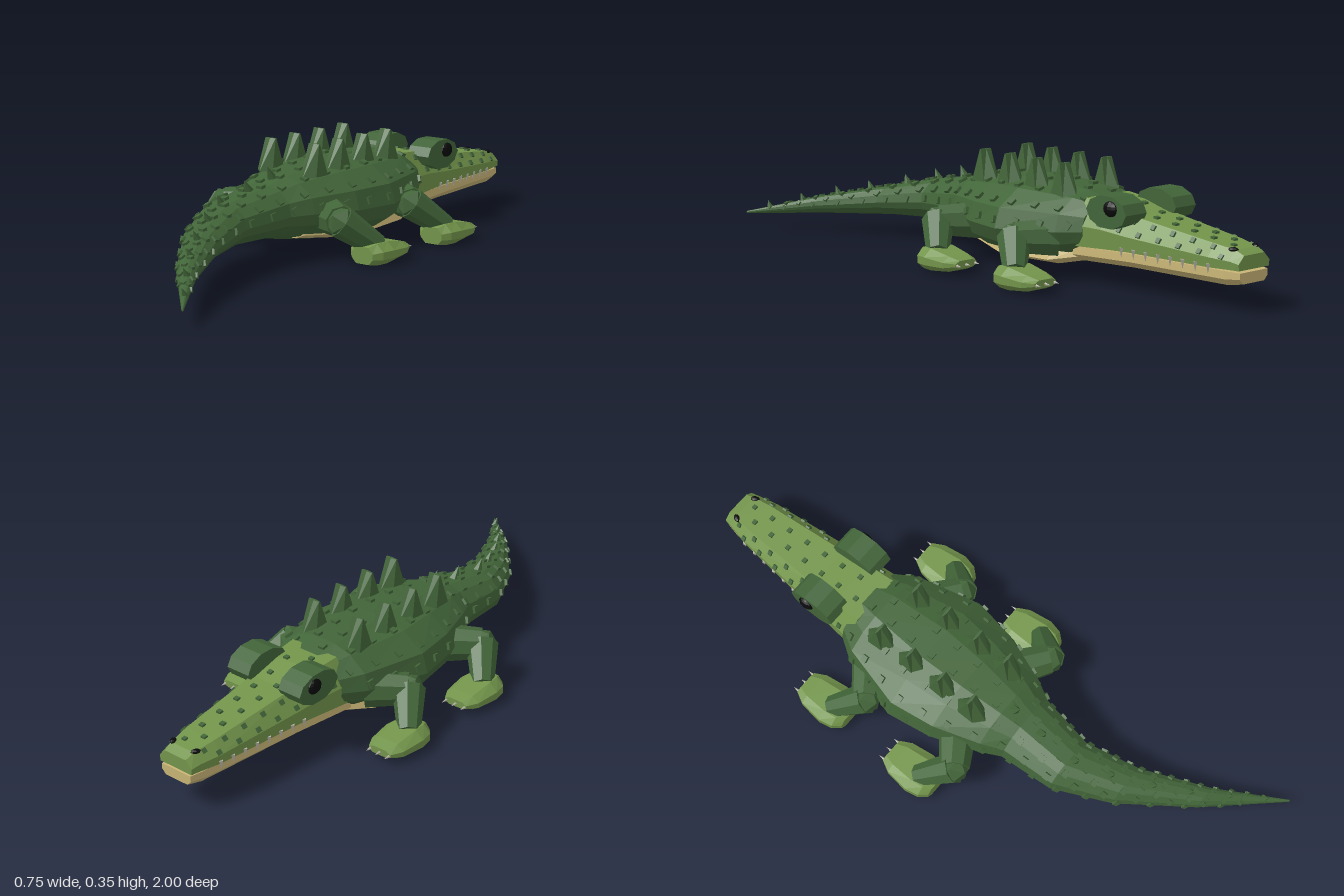
import * as THREE from 'three';
import { mergeGeometries } from 'three/addons/utils/BufferGeometryUtils.js';

const paint = (name, color) => Object.assign(new THREE.MeshStandardMaterial({ color }), { name });

// faceted normals
function facet(geo) {
  const g = geo.index ? geo.toNonIndexed() : geo;
  g.deleteAttribute('uv');
  g.computeVertexNormals();
  return g;
}

// section: [z, centre x, bottom y, top y, half width]; profile: [u -1..1, v 0..1], counter-clockwise
const place = (s, [u, v]) => new THREE.Vector3(s[1] + u * s[4], s[2] + v * (s[3] - s[2]), s[0]);

function loft(sections, profile) {
  const pos = [], n = profile.length;
  const tri = (...pts) => pts.forEach(p => pos.push(p.x, p.y, p.z));
  const rings = sections.map(s => profile.map(p => place(s, p)));
  for (let i = 0; i < rings.length - 1; i++) {
    for (let j = 0; j < n; j++) {
      const k = (j + 1) % n, A = rings[i], B = rings[i + 1];
      tri(A[j], A[k], B[j]);
      tri(A[k], B[k], B[j]);
    }
  }
  const first = rings[0], last = rings[rings.length - 1];
  for (let j = 1; j < n - 1; j++) {
    tri(first[0], first[j + 1], first[j]);
    tri(last[0], last[j], last[j + 1]);
  }
  const g = new THREE.BufferGeometry();
  g.setAttribute('position', new THREE.Float32BufferAttribute(pos, 3));
  return facet(g);
}

// interpolated section at z, and point on the skin at profile parameter t
function sectionAt(sections, z) {
  let i = 0;
  while (i < sections.length - 2 && sections[i + 1][0] < z) i++;
  const a = sections[i], b = sections[i + 1], f = (z - a[0]) / (b[0] - a[0]);
  return a.map((v, k) => v + (b[k] - v) * f);
}
function skin(sections, profile, z, t) {
  const j = Math.floor(t), f = t - j, a = profile[j], b = profile[j + 1];
  return place(sectionAt(sections, z), [a[0] + (b[0] - a[0]) * f, a[1] + (b[1] - a[1]) * f]);
}

// small raised scales in rows that follow the skin
function scales(sections, profile, rows, z0, z1, step, size) {
  const out = [];
  rows.forEach((t, r) => {
    for (let z = z0 + (r % 2) * step / 2; z < z1; z += step) {
      const p = skin(sections, profile, z, t), e = 0.01;
      const across = skin(sections, profile, z, t + e).sub(p);
      const along = skin(sections, profile, z + e, t).sub(p);
      const normal = across.cross(along).normalize();
      const q = new THREE.Quaternion().setFromUnitVectors(new THREE.Vector3(0, 1, 0), normal);
      const k = size * Math.min(1, 0.45 + sectionAt(sections, z)[4] * 6);
      const g = new THREE.BoxGeometry(k, k * 0.8, k * 0.9);
      out.push(facet(g.applyQuaternion(q).translate(p.x, p.y, p.z)));
    }
  });
  return mergeGeometries(out);
}

const BODY = [
  [-0.43, 0, 0.075, 0.255, 0.135], [-0.36, 0, 0.05, 0.272, 0.18], [-0.15, 0, 0.02, 0.282, 0.238],
  [0, 0, 0.025, 0.275, 0.212], [0.15, 0, 0.05, 0.255, 0.155], [0.22, 0, 0.065, 0.235, 0.118],
  [0.4, -0.005, 0.068, 0.205, 0.095], [0.58, 0.065, 0.066, 0.165, 0.072],
  [0.79, 0.2, 0.058, 0.118, 0.04], [1, 0.375, 0.048, 0.056, 0.004]];
const BODY_RING = [[1, 0.48], [0.92, 0.72], [0.6, 0.92], [0.25, 1], [-0.25, 1], [-0.6, 0.92], [-0.92, 0.72],
  [-1, 0.48], [-0.9, 0.3], [-0.55, 0.1], [0, 0], [0.55, 0.1], [0.9, 0.3]];
const HEAD = [
  [-1, 0, 0.125, 0.167, 0.064], [-0.97, 0, 0.125, 0.18, 0.07], [-0.9, 0, 0.124, 0.19, 0.085],
  [-0.6, 0, 0.124, 0.225, 0.114], [-0.5, 0, 0.12, 0.25, 0.125], [-0.4, 0, 0.115, 0.258, 0.135]];
const HEAD_RING = [[0.97, 0], [1, 0.45], [0.65, 1], [-0.65, 1], [-1, 0.45], [-0.97, 0]];
const JAW = [
  [-1, 0, 0.085, 0.118, 0.058], [-0.95, 0, 0.076, 0.119, 0.068], [-0.6, 0, 0.074, 0.119, 0.105],
  [-0.38, 0, 0.065, 0.113, 0.125]];
const JAW_RING = [[0.75, 0], [1, 0.45], [0.98, 1], [-0.98, 1], [-1, 0.45], [-0.75, 0]];
const BELLY = [
  [-0.42, 0, 0.07, 0.12, 0.1], [-0.3, 0, 0.043, 0.1, 0.155], [-0.08, 0, 0.034, 0.1, 0.165],
  [0.14, 0, 0.06, 0.1, 0.1]];
const BELLY_RING = [[1, 0.3], [0.9, 0.9], [-0.9, 0.9], [-1, 0.3], [-0.7, 0], [0.7, 0]];
const FOOT = [
  [-0.088, 0, 0.022, 0.046, 0.042], [-0.05, 0, 0.008, 0.056, 0.062], [0.03, 0, 0, 0.07, 0.072],
  [0.075, 0, 0, 0.068, 0.062], [0.1, 0, 0.004, 0.058, 0.04]];
const FOOT_RING = [[0.6, 0], [1, 0.3], [1, 0.65], [0.6, 1], [-0.6, 1], [-1, 0.65], [-1, 0.3], [-0.6, 0]];

export function createModel() {
  const model = new THREE.Group();
  const dark = paint('dark green hide', 0x426539), light = paint('light green skin', 0x73954b);
  const tan = paint('tan underside', 0xc8b475), black = paint('black', 0x0a0a0a), bone = paint('bone', 0xb4b0a4);
  const add = (name, geo, mat, parent = model) => {
    const m = new THREE.Mesh(geo, mat);
    m.name = name;
    parent.add(m);
    return m;
  };

  add('bodyAndTail', loft(BODY, BODY_RING), dark);
  add('belly', loft(BELLY, BELLY_RING), tan);
  add('upperHead', loft(HEAD, HEAD_RING), light);
  add('lowerJaw', loft(JAW, JAW_RING), tan);
  add('bodyScales', scales(BODY, BODY_RING, [0.4, 1.3, 2.2, 3.15, 3.8, 4.8, 5.7, 6.6], -0.39, 0.92, 0.085, 0.022), dark);
  add('headScales', scales(HEAD, HEAD_RING, [1.2, 1.75, 2.3, 2.7, 3.25, 3.8], -0.94, -0.44, 0.075, 0.016), dark);

  // back plates: wide wedges in two rows, narrowing to a ridge
  const plate = new THREE.CylinderGeometry(0.024, 0.036, 0.1, 6);
  const pp = plate.attributes.position;
  for (let i = 0; i < pp.count; i++) pp.setZ(i, pp.getZ(i) * (pp.getY(i) > 0 ? 0.2 : 1.6));
  const plateGeo = facet(plate);
  for (const x of [-0.088, 0.088])
    for (const z of [0.07, -0.05, -0.175, -0.3]) add('backPlate', plateGeo, dark).position.set(x, 0.302, z);

  // tail spikes, leaning backwards
  for (const z of [0.18, 0.29, 0.42, 0.53, 0.65, 0.75, 0.85, 0.94]) {
    const s = sectionAt(BODY, z), h = 0.065 - 0.035 * z;
    const spike = add('tailSpike', facet(new THREE.ConeGeometry(h * 0.38, h, 5)), dark);
    spike.position.set(s[1], s[3] + h * 0.25, z);
    spike.rotation.x = 0.5;
  }

  const claw = facet(new THREE.ConeGeometry(0.007, 0.03, 5).rotateX(-Math.PI / 2));
  const tooth = facet(new THREE.ConeGeometry(0.008, 0.03, 4).rotateX(Math.PI));
  const foot = loft(FOOT, FOOT_RING);
  // tapered limb between two points
  const limb = (name, a, b, r0, r1) => {
    const d = b.clone().sub(a);
    const m = add(name, facet(new THREE.CylinderGeometry(r1, r0, d.length(), 8)), dark);
    m.position.copy(a).add(b).multiplyScalar(0.5);
    m.quaternion.setFromUnitVectors(new THREE.Vector3(0, 1, 0), d.normalize());
  };

  for (const s of [-1, 1]) {
    // eye mound, eye and nostril
    const mound = add('eyeMound', facet(new THREE.CylinderGeometry(0.9, 0.9, 0.085, 10).rotateZ(Math.PI / 2)), dark);
    mound.scale.set(1, 0.056, 0.094);
    mound.position.set(s * 0.103, 0.24, -0.545);
    const eye = add('eye', facet(new THREE.SphereGeometry(0.028, 10, 8)), black);
    eye.scale.set(0.55, 0.85, 1);
    eye.position.set(s * 0.145, 0.252, -0.565);
    const nostril = add('nostril', facet(new THREE.SphereGeometry(0.014, 8, 6)), black);
    nostril.scale.set(0.7, 0.5, 1.1);
    nostril.position.set(s * 0.045, 0.18, -0.962);
    nostril.rotation.y = s * 0.5;

    for (let i = 0; i < 8; i++) {
      const z = -0.9 + i * 0.046;
      add('tooth', tooth, bone).position.set(s * sectionAt(HEAD, z)[4] * 0.97, 0.12, z);
    }

    // legs
    for (const [part, z] of [['front', -0.365], ['rear', 0]]) {
      const hip = new THREE.Vector3(s * 0.13, 0.13, z + 0.05);
      const knee = new THREE.Vector3(s * 0.238, 0.132, z + 0.125);
      const ankle = new THREE.Vector3(s * 0.312, 0.05, z + 0.035);
      limb(part + 'Thigh', hip, knee, 0.062, 0.05);
      limb(part + 'Shin', knee, ankle, 0.052, 0.036);
      const joint = add(part + 'Knee', facet(new THREE.IcosahedronGeometry(0.051, 0)), dark);
      joint.position.copy(knee);
      add(part + 'Foot', foot, light).position.set(s * 0.3, 0, z);
      for (const k of [-1, 0, 1])
        add(part + 'Claw', claw, bone).position.set(s * 0.3 + k * 0.036, 0.032, z - 0.094);
    }
  }
  return model;
}
